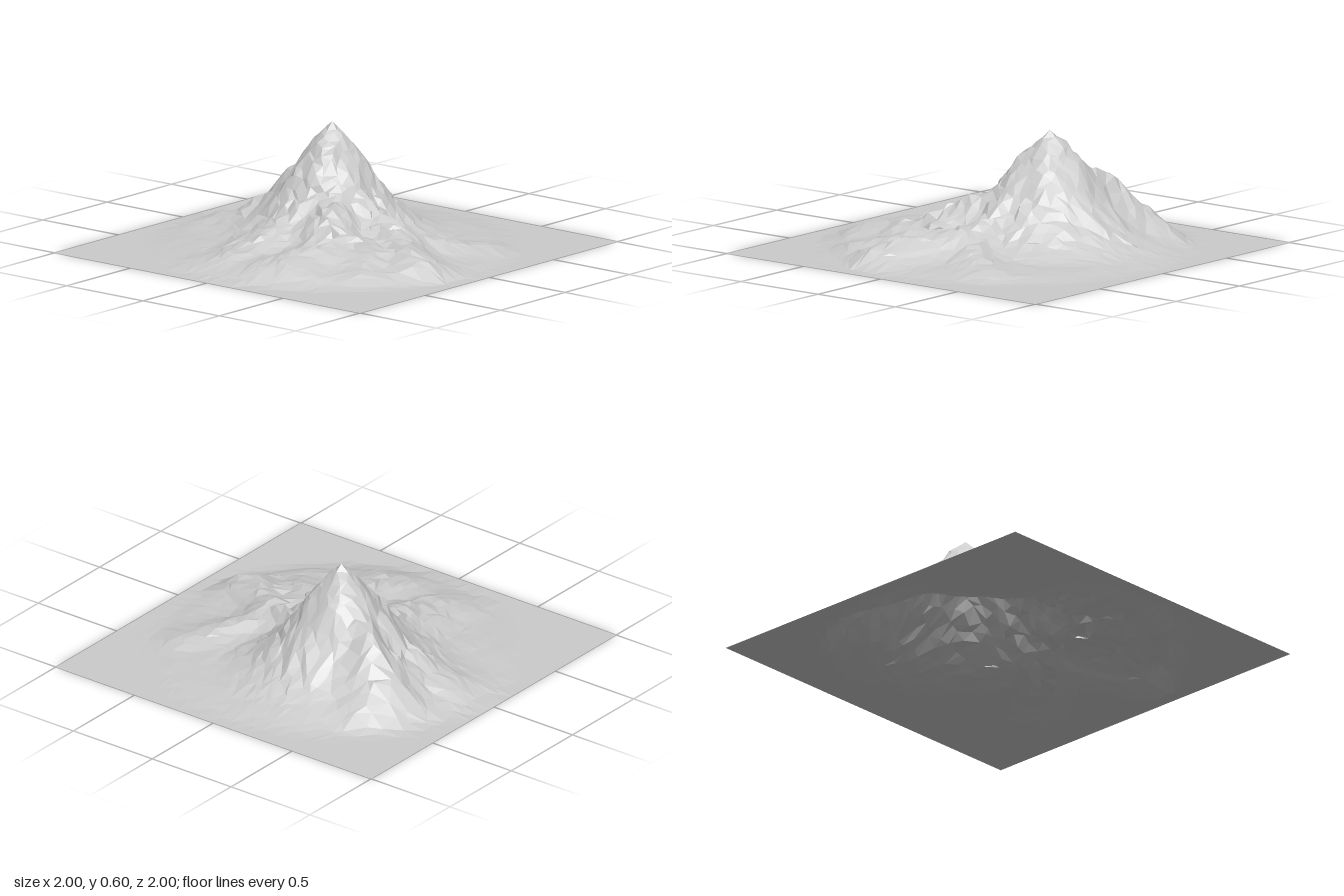
import * as THREE from 'three';

// Crest lines as [x, z, height] points, with the width of their slopes
const RIDGES = [
  { w: 0.3, pts: [[0.11, -0.14, 0.55], [0.15, -0.15, 0.585], [0.17, -0.17, 0.56]] }, // summit cone
  { w: 0.2, pts: [[0.19, -0.22, 0.46], [0.24, -0.32, 0.4], [0.29, -0.45, 0.35],
    [0.35, -0.53, 0.24], [0.43, -0.6, 0.13], [0.55, -0.72, 0.05]] }, // back ridge
  { w: 0.19, pts: [[0.05, -0.05, 0.43], [-0.05, 0.03, 0.32], [-0.12, 0.08, 0.28], [-0.2, 0.12, 0.25],
    [-0.3, 0.2, 0.18], [-0.42, 0.24, 0.13]] }, // side spur
  { w: 0.27, pts: [[-0.42, 0.22, 0.12], [-0.6, 0.2, 0.1], [-0.78, 0.14, 0.045]] }, // western apron
  { w: 0.17, pts: [[0.07, 0.02, 0.36], [0.05, 0.12, 0.28], [0.04, 0.25, 0.2], [0.02, 0.38, 0.175],
    [-0.1, 0.52, 0.135], [-0.19, 0.65, 0.125], [-0.25, 0.77, 0.1], [-0.29, 0.92, 0.03]] }, // front spur
  { w: 0.2, pts: [[-0.2, 0.3, 0.15], [-0.3, 0.45, 0.11], [-0.45, 0.55, 0.07]] }, // front apron
  { w: 0.17, pts: [[0.04, 0.38, 0.15], [0.2, 0.5, 0.09], [0.38, 0.62, 0.05]] }, // front branch
  { w: 0.23, pts: [[0, -0.09, 0.38], [-0.15, -0.1, 0.24], [-0.35, -0.13, 0.15],
    [-0.6, -0.12, 0.08]] }, // west spur
  { w: 0.22, pts: [[0.12, -0.25, 0.44], [0.1, -0.35, 0.32], [0.05, -0.5, 0.18], [0.03, -0.66, 0.09]] }, // rear spur
];

// Repeatable pseudo-random value in -1..1 for a grid cell
function hash(i, j, k) {
  const s = Math.sin(i * 127.1 + j * 311.7 + k * 74.7) * 43758.5453;
  return 2 * (s - Math.floor(s)) - 1;
}

function ridgeHeight({ w, pts }, x, z) {
  let best = 0;
  for (let i = 0; i < pts.length - 1; i++) {
    const [ax, az, ah] = pts[i], [bx, bz, bh] = pts[i + 1];
    const dx = bx - ax, dz = bz - az;
    const t = THREE.MathUtils.clamp(((x - ax) * dx + (z - az) * dz) / (dx * dx + dz * dz), 0, 1);
    const d = Math.hypot(x - ax - t * dx, z - az - t * dz);
    best = Math.max(best, (ah + (bh - ah) * t) * Math.exp(-Math.pow(d / w, 1.6)));
  }
  return best;
}

// Soft maximum of the ridges and the low skirt, broken up by rough facets
function terrain(x, z, i, j) {
  const r = Math.hypot(x, z);
  const fade = 1 - THREE.MathUtils.smoothstep(r, 0.8, 0.98);
  if (fade === 0) return 0;
  let sum = Math.pow(0.05 * Math.max(0, 1 - r * r), 9);
  for (const ridge of RIDGES) sum += Math.pow(ridgeHeight(ridge, x, z), 9);
  const h = Math.pow(sum, 1 / 9);
  const fromPeak = Math.hypot(x - 0.15, z + 0.15);
  const rough = THREE.MathUtils.smoothstep(fromPeak, 0.02, 0.2) * Math.min(1, h / 0.2);
  const gullies = 0.008 * Math.sin(23 * x + 9 * z) * Math.sin(21 * z - 8 * x);
  return (h + rough * (gullies + 0.016 * hash(i, j, 3))) * fade;
}

function createMountain() {
  const N = 36;
  const warp = (u) => u * (0.65 + 0.35 * u * u); // finer cells near the middle
  const points = [];
  for (let j = 0; j <= N; j++) {
    for (let i = 0; i <= N; i++) {
      const inner = i > 0 && i < N && j > 0 && j < N ? 0.4 : 0;
      const x = warp((2 * (i + inner * hash(i, j, 1))) / N - 1);
      const z = warp((2 * (j + inner * hash(i, j, 2))) / N - 1);
      points.push(new THREE.Vector3(x, terrain(x, z, i, j), z));
    }
  }
  // Put the vertex nearest the summit exactly on it
  const summit = new THREE.Vector3(0.15, 0.6, -0.15);
  points.reduce((a, b) => (b.distanceTo(summit) < a.distanceTo(summit) ? b : a)).copy(summit);

  // Split each cell along the diagonal with the smaller height step
  const index = [];
  for (let j = 0; j < N; j++) {
    for (let i = 0; i < N; i++) {
      const a = j * (N + 1) + i, b = a + 1, c = a + N + 1, d = c + 1;
      if (Math.abs(points[a].y - points[d].y) < Math.abs(points[b].y - points[c].y)) {
        index.push(a, c, d, a, d, b);
      } else {
        index.push(a, c, b, b, c, d);
      }
    }
  }
  const geometry = new THREE.BufferGeometry().setFromPoints(points);
  geometry.setIndex(index);
  geometry.computeVertexNormals();
  return geometry;
}

export function createModel() {
  const group = new THREE.Group();
  group.name = 'mountainTerrain';
  const material = new THREE.MeshStandardMaterial({
    color: 0xcccccc, flatShading: true, side: THREE.DoubleSide,
  });
  const mountain = new THREE.Mesh(createMountain(), material);
  mountain.name = 'mountain';
  group.add(mountain);
  return group;
}
